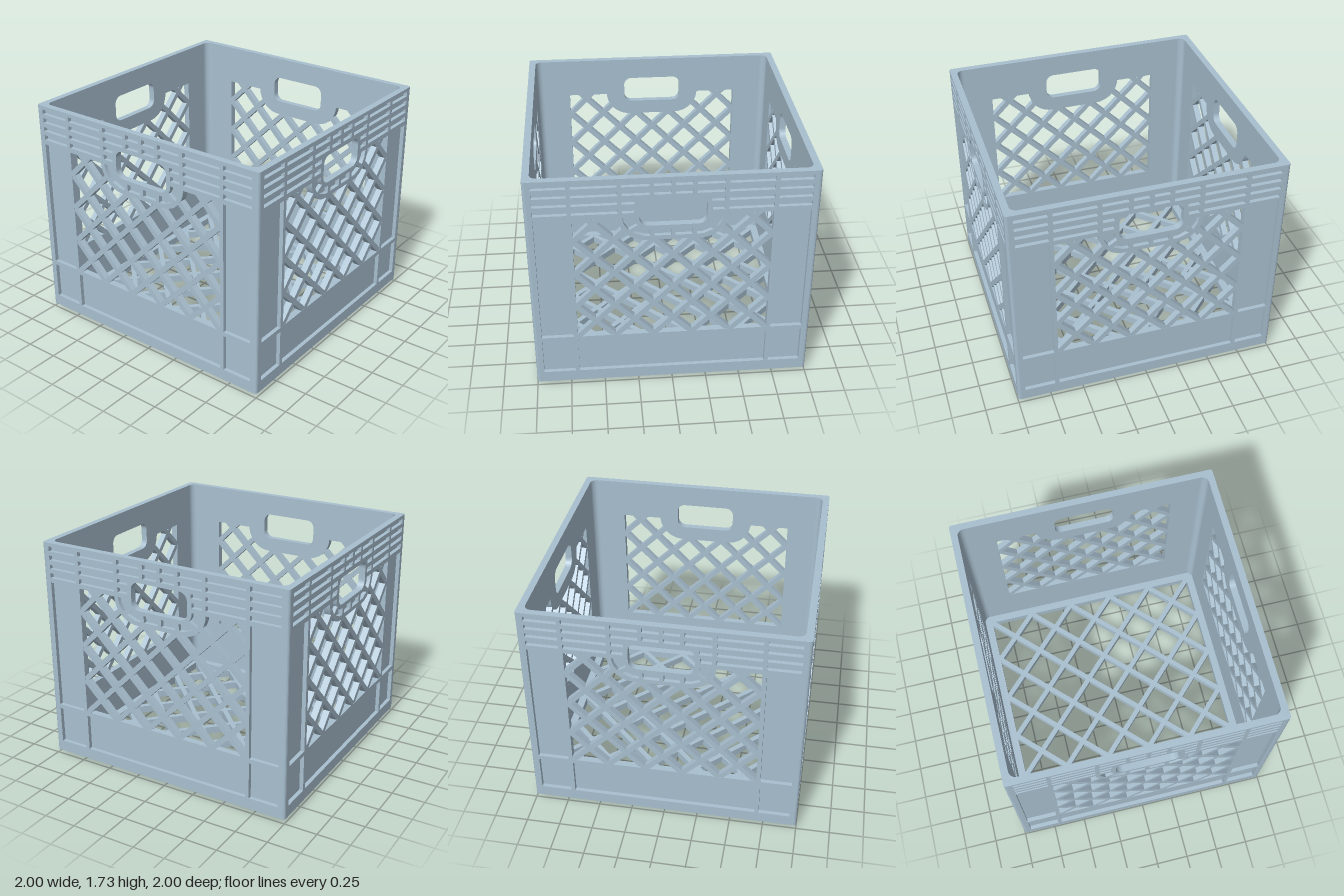
import * as THREE from 'three';
import { mergeGeometries, toCreasedNormals } from 'three/addons/utils/BufferGeometryUtils.js';

const H = 1.73, FOOT = 0.03;
const INNER = 0.95, RECESS = 0.97, OUTER = 1; // wall depth layers
const STRIP = 0.04;
const WIN = { x: 0.685, y0: 0.434, y1: 1.427 };
const BOSS = { x: 0.377, y: 1.243, r: 0.19 };

const poly = (pts, C = THREE.Path) => new C(pts.map(([x, y]) => new THREE.Vector2(x, y)));
const rect = (x0, y0, x1, y1, C) => poly([[x0, y0], [x1, y0], [x1, y1], [x0, y1]], C);

function roundRect(w, h, cy, r, C = THREE.Path) {
  const p = new C();
  p.moveTo(w - r, cy - h);
  p.absarc(w - r, cy - h + r, r, -Math.PI / 2, 0);
  p.absarc(w - r, cy + h - r, r, 0, Math.PI / 2);
  p.absarc(-w + r, cy + h - r, r, Math.PI / 2, Math.PI);
  p.absarc(-w + r, cy - h + r, r, Math.PI, Math.PI * 1.5);
  p.closePath();
  return p;
}

function extrude(shape, from, to) {
  const g = new THREE.ExtrudeGeometry(shape, { depth: to - from, bevelEnabled: false, curveSegments: 8 });
  return toCreasedNormals(g.translate(0, 0, from), 0.6);
}
// Extrude a plan shape upwards (plan y becomes -z)
const extrudeUp = (shape, y0, y1) => extrude(shape, y0, y1).rotateX(-Math.PI / 2);

// Lattice window with the handle surround bulging in from the top
function windowHole() {
  const p = new THREE.Path();
  const { x, y, r } = BOSS;
  p.moveTo(-WIN.x, WIN.y0);
  p.lineTo(WIN.x, WIN.y0);
  p.lineTo(WIN.x, WIN.y1);
  p.lineTo(x, WIN.y1);
  p.absarc(x - r, y + r, r, 0, -Math.PI / 2, true);
  p.absarc(-x + r, y + r, r, -Math.PI / 2, -Math.PI, true);
  p.lineTo(-x, WIN.y1);
  p.lineTo(-WIN.x, WIN.y1);
  p.closePath();
  return p;
}

function inWindow(x, y) {
  const ax = Math.abs(x);
  if (ax > WIN.x || y < WIN.y0 || y > WIN.y1) return false;
  if (ax > BOSS.x || y < BOSS.y) return true;
  const dx = ax - (BOSS.x - BOSS.r), dy = BOSS.y + BOSS.r - y;
  return dx > 0 && dy > 0 && Math.hypot(dx, dy) > BOSS.r;
}

// Recessed pockets on the outer face of a wall
function pockets() {
  const list = [rect(-0.685, 0.117, 0.685, 0.4)];
  const both = pts => {
    list.push(poly(pts), poly(pts.map(([x, y]) => [-x, y])));
  };
  const box = (x0, y0, x1, y1) => both([[x0, y0], [x1, y0], [x1, y1], [x0, y1]]);
  box(0.715, 0.117, 0.945, 0.4);
  box(0.715, 0.434, 0.945, 1.427);
  const rows = [[1.666, 1.703], [1.599, 1.634], [1.532, 1.564], [1.463, 1.5]];
  rows.forEach(([y0, y1], i) => {
    box(0.715, y0, 0.945, y1);
    box(0.377, y0, 0.685, y1);
    box([0.16, 0.16, 0.26, 0.265][i], y0, 0.347, y1);
    if (i < 2) box(0.015, y0, 0.13, y1);
  });
  // Pockets around the handle surround
  box(0.015, 1.275, 0.13, 1.328);
  both([[0.265, 1.428], [0.347, 1.428], [0.335, 1.375], [0.305, 1.327], [0.245, 1.365], [0.262, 1.395]]);
  both([[0.16, 1.275], [0.205, 1.277], [0.275, 1.307], [0.222, 1.343], [0.2, 1.328], [0.16, 1.328]]);
  return list;
}

// Diagonal strips, kept only where their centre line is inside the opening
function lattice(inside, pitch, offset, z0, z1) {
  const parts = [], step = 0.004, s = Math.SQRT1_2;
  const addRun = (dir, c, t0, t1) => {
    if (t1 - t0 < 0.02) return;
    const mid = (t0 + t1) / 2;
    const g = new THREE.BoxGeometry(t1 - t0 + 0.04, STRIP, z1 - z0);
    g.rotateZ(dir * Math.PI / 4);
    g.translate(dir * mid * s, c + mid * s, (z0 + z1) / 2);
    parts.push(g);
  };
  for (const dir of [-1, 1]) {
    for (let k = -16; k <= 16; k++) {
      const c = offset + k * pitch;
      let start = null;
      for (let t = -4; t <= 4; t += step) {
        const hit = inside(dir * t * s, c + t * s);
        if (hit && start === null) start = t;
        if (!hit && start !== null) {
          addRun(dir, c, start, t - step);
          start = null;
        }
      }
    }
  }
  return mergeGeometries(parts);
}

export function createModel() {
  const crate = new THREE.Group();
  crate.name = 'crate';
  const mat = new THREE.MeshStandardMaterial({ color: 0xa8bfcf });
  const add = (parent, name, geo) => {
    const m = new THREE.Mesh(geo, mat);
    m.name = name;
    parent.add(m);
  };

  // Wall layers: plain inner sheet, ribbed outer face, lattice
  const sheet = rect(-RECESS, FOOT, RECESS, H, THREE.Shape);
  const handle = () => roundRect(0.23, 0.104, 1.461, 0.06);
  sheet.holes.push(windowHole(), handle());
  const ribs = rect(-RECESS, FOOT, RECESS, H, THREE.Shape);
  ribs.holes.push(windowHole(), handle(), ...pockets());
  const sheetGeo = extrude(sheet, INNER, RECESS);
  const ribGeo = extrude(ribs, RECESS, OUTER);
  const wallLattice = lattice(inWindow, 0.274, 0.018, INNER + 0.001, OUTER - 0.001);

  // Corner: rounded outer edge and inner fillet
  const edge = new THREE.Shape();
  edge.moveTo(RECESS, RECESS);
  edge.lineTo(OUTER, RECESS);
  edge.absarc(0.98, 0.98, 0.02, 0, Math.PI / 2);
  edge.lineTo(RECESS, OUTER);
  const fillet = poly([[0.9, 0.96], [0.96, 0.96], [0.96, 0.9]], THREE.Shape);
  fillet.lineTo(INNER, 0.9);
  fillet.absarc(0.9, 0.9, 0.05, 0, Math.PI / 2);
  const edgeGeo = extrudeUp(edge, FOOT, H);
  const filletGeo = extrudeUp(fillet, FOOT, H);

  ['front', 'left', 'back', 'right'].forEach((side, i) => {
    const wall = new THREE.Group();
    wall.name = side + 'Wall';
    wall.rotation.y = i * Math.PI / 2;
    add(wall, 'innerSheet', sheetGeo);
    add(wall, 'outerRibs', ribGeo);
    add(wall, 'wallLattice', wallLattice);
    add(wall, 'cornerEdge', edgeGeo);
    add(wall, 'cornerFillet', filletGeo);
    crate.add(wall);
  });

  // Floor: stepped frame and lattice
  const ring = (outer) => {
    const s = roundRect(outer, outer, 0, 0.02, THREE.Shape);
    s.holes.push(rect(-0.89, -0.89, 0.89, 0.89));
    return s;
  };
  add(crate, 'footRing', extrudeUp(ring(0.93), 0, FOOT));
  add(crate, 'floorFrame', extrudeUp(ring(0.96), FOOT, 0.06));
  const inFloor = (x, y) => Math.max(Math.abs(x), Math.abs(y)) <= 0.89;
  add(crate, 'floorLattice', lattice(inFloor, 0.357, 0, 0.001, 0.059).rotateX(-Math.PI / 2));
  return crate;
}
